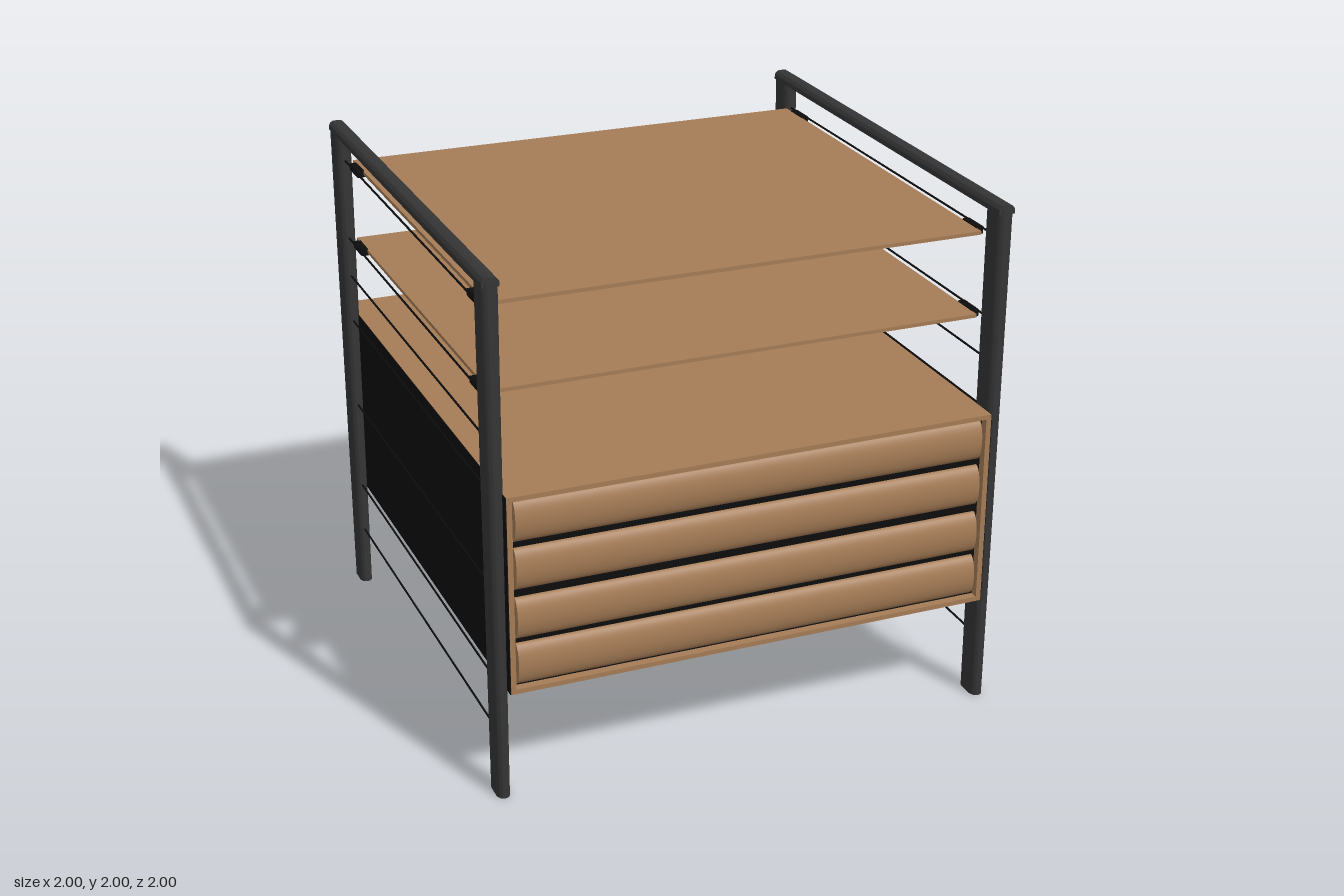
import * as THREE from 'three';
import { toCreasedNormals } from 'three/addons/utils/BufferGeometryUtils.js';

export function createModel() {
  const model = new THREE.Group();
  model.name = 'shelfUnit';
  const wood = new THREE.MeshStandardMaterial({ color: 0xa57c56, name: 'wood' });
  const metal = new THREE.MeshStandardMaterial({ color: 0x353535, name: 'darkMetal' });
  const black = new THREE.MeshStandardMaterial({ color: 0x0d0d0d, name: 'black' });

  const add = (name, geometry, material, x = 0, y = 0, z = 0) => {
    const mesh = new THREE.Mesh(geometry, material);
    mesh.name = name;
    mesh.position.set(x, y, z);
    model.add(mesh);
    return mesh;
  };
  // Box given by its low and high limits
  const box = (name, material, x0, x1, y0, y1, z0, z1) =>
    add(name, new THREE.BoxGeometry(x1 - x0, y1 - y0, z1 - z0), material,
      (x0 + x1) / 2, (y0 + y1) / 2, (z0 + z1) / 2);

  // Post: flat oval section, a little slimmer towards the foot
  const postGeometry = () => {
    const w = 0.032, d = 0.057, s = 0.03;
    const shape = new THREE.Shape();
    shape.moveTo(w, -s);
    shape.lineTo(w, s);
    shape.quadraticCurveTo(w * 0.8, d, 0, d);
    shape.quadraticCurveTo(-w * 0.8, d, -w, s);
    shape.lineTo(-w, -s);
    shape.quadraticCurveTo(-w * 0.8, -d, 0, -d);
    shape.quadraticCurveTo(w * 0.8, -d, w, -s);
    let g = new THREE.ExtrudeGeometry(shape, { depth: 1.985, bevelEnabled: false, steps: 4, curveSegments: 6 });
    g.rotateX(-Math.PI / 2);
    const p = g.attributes.position;
    for (let i = 0; i < p.count; i++) p.setX(i, p.getX(i) * (0.78 + 0.11 * p.getY(i)));
    return toCreasedNormals(g, 0.7);
  };

  // Top rail: flat underside and softly rounded top
  const railGeometry = () => {
    const shape = new THREE.Shape();
    shape.moveTo(-0.032, 0);
    shape.lineTo(0.032, 0);
    shape.lineTo(0.032, 0.017);
    shape.quadraticCurveTo(0.026, 0.033, 0.012, 0.035);
    shape.lineTo(-0.012, 0.035);
    shape.quadraticCurveTo(-0.026, 0.033, -0.032, 0.017);
    const g = new THREE.ExtrudeGeometry(shape, { depth: 1.9, bevelEnabled: false, curveSegments: 6 });
    g.translate(0, 0, -0.935);
    return toCreasedNormals(g, 0.7);
  };

  const post = postGeometry(), rail = railGeometry();
  const rod = new THREE.CylinderGeometry(0.004, 0.004, 1.86, 8).rotateX(Math.PI / 2);
  const tip = new THREE.ConeGeometry(0.008, 0.03, 8).rotateX(-Math.PI / 2);
  for (const side of [-1, 1]) {
    const x = side * 0.967;
    add('frontPost', post, metal, x, 0, 0.915);
    add('backPost', post, metal, x, 0, -0.888);
    add('topRail', rail, metal, x, 1.965, 0);
    // Thin cross rods between the posts
    for (const y of [0.245, 0.45, 0.815, 1.185, 1.38, 1.54, 1.862]) {
      add('sideRod', rod, black, x, y, -0.02);
      add('rodTip', tip, black, x, y, -0.955);
    }
  }

  // Shelf clip: small plate with four openings
  const clipShape = new THREE.Shape();
  clipShape.moveTo(-0.06, -0.055);
  clipShape.lineTo(0.06, -0.055);
  clipShape.lineTo(0.06, 0.055);
  clipShape.lineTo(-0.06, 0.055);
  for (const cx of [-0.028, 0.028]) for (const cy of [-0.026, 0.026]) {
    const hole = new THREE.Path();
    hole.moveTo(cx - 0.018, cy - 0.016);
    hole.lineTo(cx - 0.018, cy + 0.016);
    hole.lineTo(cx + 0.018, cy + 0.016);
    hole.lineTo(cx + 0.018, cy - 0.016);
    clipShape.holes.push(hole);
  }
  const clip = new THREE.ExtrudeGeometry(clipShape, { depth: 0.009, bevelEnabled: false }).rotateX(-Math.PI / 2);

  // Two open shelves hung on the rods
  for (const y of [1.537, 1.859]) {
    box('shelf', wood, -0.94, 0.94, y - 0.007, y + 0.007, -0.82, 0.84);
    for (const side of [-1, 1]) for (const z of [0.755, -0.72]) {
      add('shelfClip', clip, black, side * 0.905, y - 0.016, z);
      const a = side * 0.952;
      box('clipHook', black, a - 0.014, a + 0.014, y - 0.014, y + 0.011, z - 0.053, z + 0.053);
    }
  }

  // Cabinet shell
  const L = -0.942, R = 0.937, B = 0.435, T = 1.205;
  box('cabinetTop', wood, L, R, T - 0.018, T, -1, 0.995);
  box('cabinetBottom', wood, L, R, B, B + 0.018, -1, 0.995);
  box('cabinetBack', wood, L, R, B + 0.018, T - 0.018, -1, -0.98);
  for (const [x0, x1] of [[L, L + 0.02], [R - 0.02, R]])
    box('cabinetSide', wood, x0, x1, B + 0.018, T - 0.018, -0.98, 0.995);
  // Black side faces
  box('leftSidePanel', black, R, R + 0.003, B, T, -1, 0.993);
  box('rightSidePanel', black, L - 0.003, L, B, T, -1, 0.993);
  // Dark core seen as gaps round the drawers
  box('cabinetCore', black, L + 0.02, R - 0.02, B + 0.018, T - 0.018, -0.98, 0.962);

  // Gently bulging drawer fronts
  const drawer = new THREE.CylinderGeometry(1, 1, 1.815, 24, 1, false, -Math.PI / 2, Math.PI);
  drawer.rotateZ(Math.PI / 2);
  drawer.scale(1, 0.081, 0.035);
  for (const y of [0.541, 0.722, 0.915, 1.101]) add('drawerFront', drawer, wood, -0.004, y, 0.961);

  return model;
}
